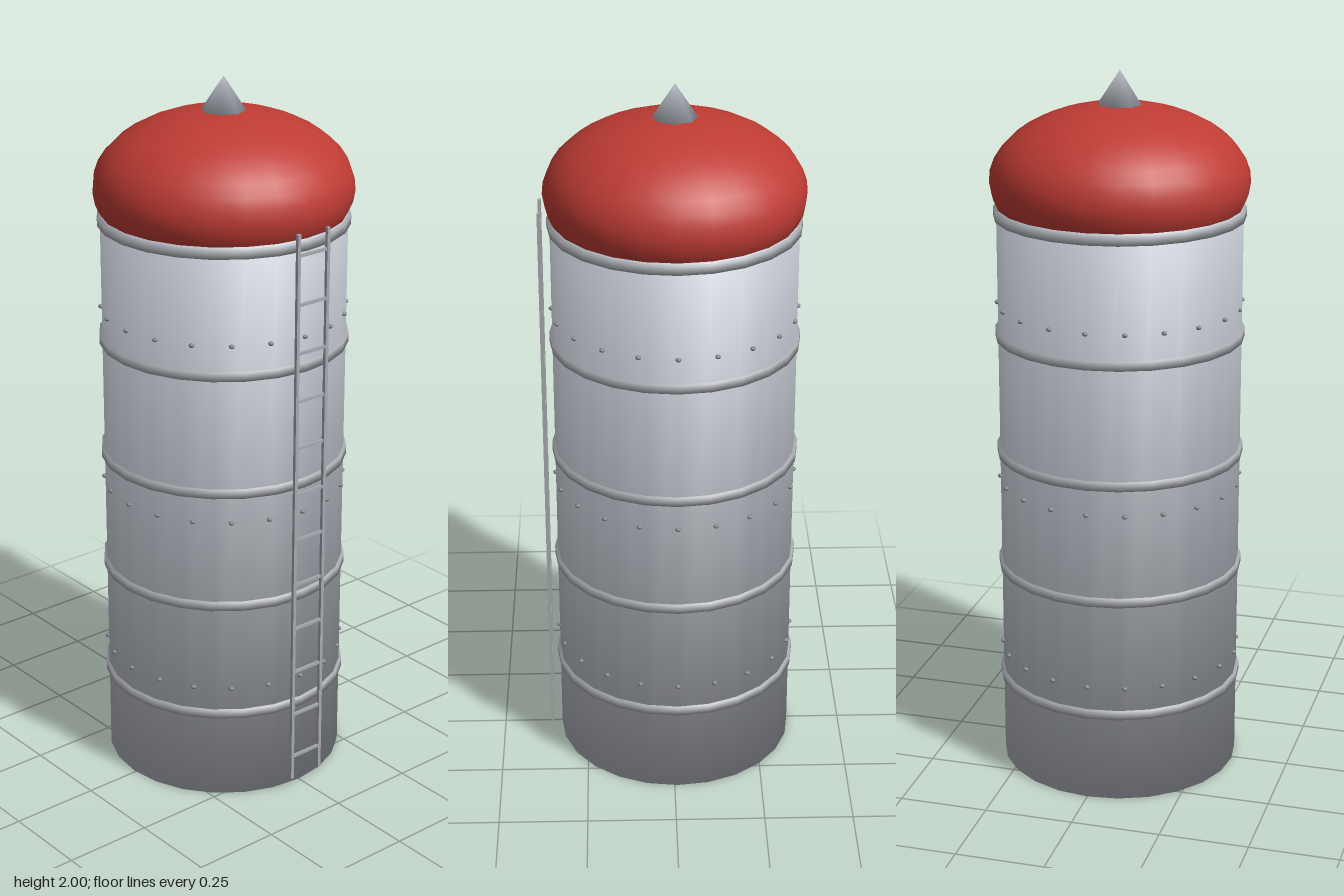
import * as THREE from 'three';

const material = (name, color) => {
  const m = new THREE.MeshStandardMaterial({ color });
  m.name = name;
  return m;
};

// Soft-edged drum: rim normals lean halfway between wall and cap.
function softDrum(rTop, rBottom, height, sides, lean) {
  const geo = new THREE.CylinderGeometry(rTop, rBottom, height, sides);
  const p = geo.attributes.position, n = geo.attributes.normal;
  const v = new THREE.Vector3();
  for (let i = 0; i < p.count; i++) {
    const r = Math.hypot(p.getX(i), p.getZ(i));
    const s = Math.sign(p.getY(i));
    if (r < 1e-5) v.set(0, s, 0);
    else v.set(p.getX(i) / r, s * lean, p.getZ(i) / r).normalize();
    n.setXYZ(i, v.x, v.y, v.z);
  }
  return geo;
}

export function createModel() {
  const wall = material('pale steel', 0xb9bdc6);
  const steel = material('band steel', 0xa6a9ae);
  const dark = material('rivet steel', 0x85888d);
  const red = material('red roof', 0xbf3c34);

  const model = new THREE.Group();
  model.name = 'silo';
  const tower = new THREE.Group();
  tower.name = 'tower';
  tower.position.z = -0.0085;
  model.add(tower);

  const add = (parent, name, geo, mat, x = 0, y = 0, z = 0) => {
    const mesh = new THREE.Mesh(geo, mat);
    mesh.name = name;
    mesh.position.set(x, y, z);
    parent.add(mesh);
    return mesh;
  };

  // Tank wall
  add(tower, 'wall', softDrum(0.338, 0.338, 1.632, 24, 1), wall, 0, 0.816);

  // Hoops around the wall
  const hoop = softDrum(0.346, 0.346, 0.025, 24, 1);
  for (let i = 0; i < 5; i++) add(tower, 'hoop', hoop, steel, 0, 0.26 + i * 0.3385);

  // Rows of rivets
  const rivet = new THREE.SphereGeometry(0.008, 8, 6);
  rivet.scale(1, 0.75, 1);
  for (let row = 0; row < 3; row++) {
    for (let i = 0; i < 20; i++) {
      const a = (i / 20) * Math.PI * 2;
      add(tower, 'rivet', rivet, dark, Math.sin(a) * 0.338, 0.34 + row * 0.51, Math.cos(a) * 0.338);
    }
  }

  // Domed roof, curling in below its widest line
  const dome = new THREE.SphereGeometry(0.356, 24, 12, 0, Math.PI * 2, 0, Math.PI * 0.61);
  dome.scale(1, 0.21 / 0.356, 1);
  add(tower, 'roof', dome, red, 0, 1.7);

  // Roof cap
  add(tower, 'roofCap', softDrum(0, 0.063, 0.096, 8, 0.5), wall, 0, 1.952);

  // Ladder on the front
  const ladder = new THREE.Group();
  ladder.name = 'ladder';
  ladder.position.z = 0.3565;
  model.add(ladder);
  const rail = new THREE.BoxGeometry(0.01, 1.625, 0.009);
  for (const side of [-1, 1]) add(ladder, 'rail', rail, steel, side * 0.051, 0.8475);
  const rung = new THREE.BoxGeometry(0.1, 0.008, 0.007);
  for (let i = 0; i < 12; i++) add(ladder, 'rung', rung, steel, 0, 0.105 + i * 0.136);

  return model;
}
